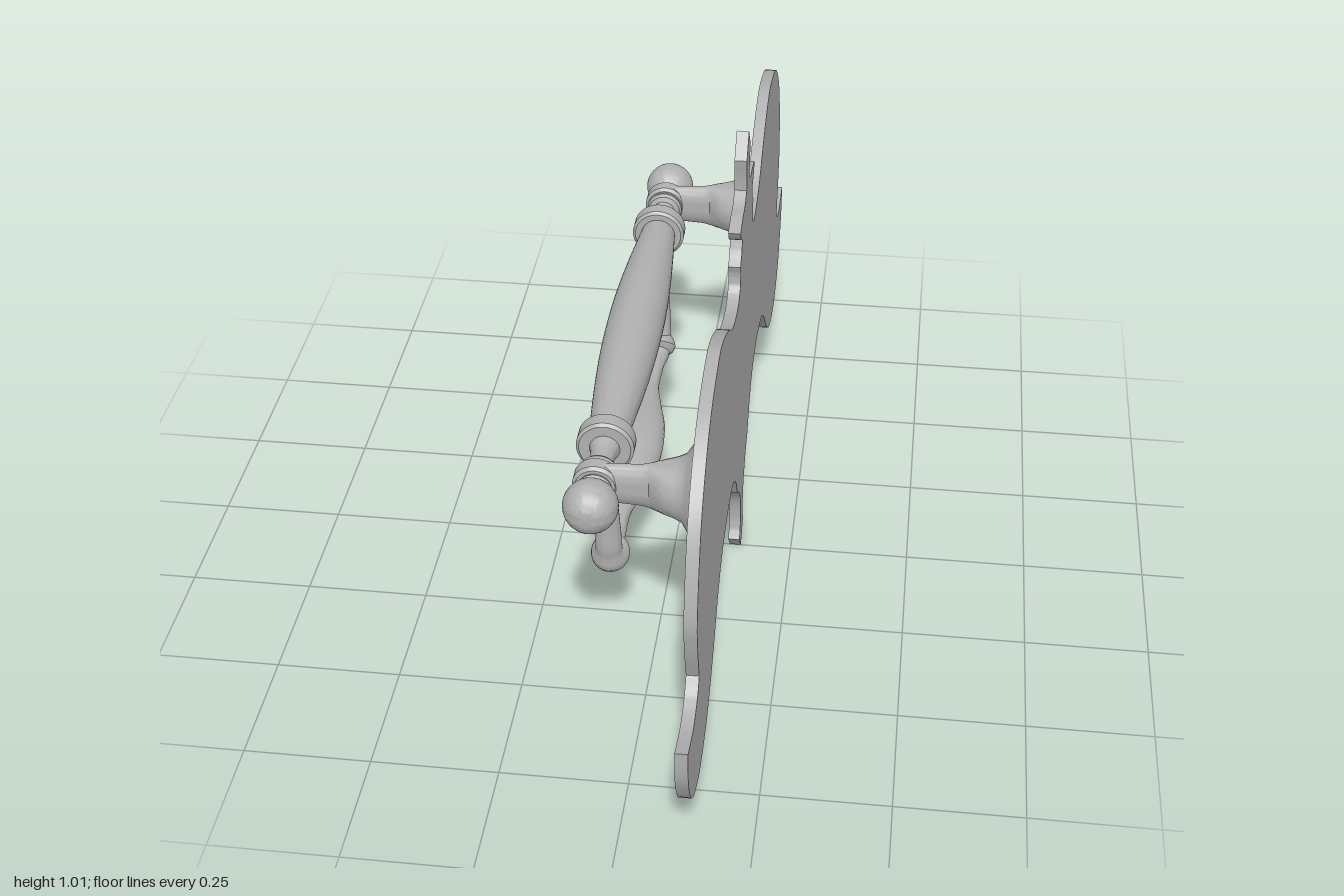
import * as THREE from 'three';
import { toCreasedNormals } from 'three/addons/utils/BufferGeometryUtils.js';

const BAR_X = -0.085, BAR_Y = 0.54;

// Skin over a list of equally sized closed rings, with capped ends
function loft(rings) {
  const n = rings[0].length, pos = [], idx = [];
  rings.forEach(r => r.forEach(p => pos.push(p.x, p.y, p.z)));
  for (let i = 0; i < rings.length - 1; i++) {
    for (let j = 0; j < n; j++) {
      const k = (j + 1) % n;
      const a = i * n + j, b = i * n + k, c = b + n, d = a + n;
      idx.push(a, b, c, a, c, d);
    }
  }
  const last = (rings.length - 1) * n;
  for (let j = 1; j < n - 1; j++) {
    idx.push(0, j + 1, j, last, last + j, last + j + 1);
  }
  const g = new THREE.BufferGeometry();
  g.setAttribute('position', new THREE.Float32BufferAttribute(pos, 3));
  g.setIndex(idx);
  return toCreasedNormals(g, 0.6);
}

// Elliptical ring around a centre, spanned by two axes
function ring(centre, u, ru, v, rv, n = 32) {
  return Array.from({ length: n }, (_, j) => {
    const a = j / n * Math.PI * 2;
    return centre.clone().addScaledVector(u, ru * Math.cos(a)).addScaledVector(v, rv * Math.sin(a));
  });
}

// Turned part along z from [z, radius] pairs
function turned(profile) {
  const g = new THREE.LatheGeometry(profile.map(([z, r]) => new THREE.Vector2(r, z)), 40);
  g.rotateX(Math.PI / 2);
  return toCreasedNormals(g, 0.6);
}

// Half outline of the plate as smooth runs that meet at corners: [side, height]
const OUTLINE = [
  [[0, 1.01], [0.038, 0.965]],
  [[0.038, 0.965], [0.03, 0.925], [0.028, 0.895]],
  [[0.028, 0.895], [0.06, 0.878], [0.1, 0.877], [0.145, 0.866]],
  [[0.145, 0.866], [0.13, 0.845], [0.103, 0.828]],
  [[0.103, 0.828], [0.115, 0.802], [0.135, 0.785]],
  [[0.135, 0.785], [0.128, 0.762], [0.134, 0.735], [0.16, 0.721], [0.2, 0.719], [0.28, 0.738],
    [0.35, 0.78], [0.45, 0.825], [0.54, 0.838], [0.69, 0.8], [0.81, 0.69], [0.865, 0.53],
    [0.857, 0.44], [0.828, 0.355]],
  [[0.828, 0.355], [0.86, 0.325], [0.92, 0.312], [1, 0.328]],
  [[1, 0.328], [0.992, 0.25], [0.94, 0.165], [0.86, 0.117], [0.78, 0.105], [0.67, 0.132],
    [0.58, 0.195], [0.5, 0.27], [0.42, 0.315], [0.3, 0.334], [0.21, 0.32], [0.15, 0.28], [0.113, 0.225]],
  [[0.113, 0.225], [0.07, 0.195], [0.035, 0.15], [0.024, 0.1], [0.028, 0.065], [0.04, 0.045]],
  [[0.04, 0.045], [0, 0]],
];

function plateGeometry() {
  const half = [];
  for (const run of OUTLINE) {
    const curve = new THREE.SplineCurve(run.map(p => new THREE.Vector2(...p)));
    const steps = run.length === 2 ? 1 : (run.length - 1) * 5;
    half.push(...curve.getPoints(steps).slice(0, -1));
  }
  const mirrored = half.slice(1).reverse().map(p => new THREE.Vector2(-p.x, p.y));
  const shape = new THREE.Shape([...half, new THREE.Vector2(0, 0), ...mirrored]);
  const g = new THREE.ExtrudeGeometry(shape, { depth: 0.024, bevelEnabled: false });
  g.rotateY(Math.PI / 2);
  g.translate(0.118, 0, 0);
  return toCreasedNormals(g, 0.6);
}

// Flat arm that flares into a round rosette: [x, half height, half width]
function armGeometry() {
  const Y = new THREE.Vector3(0, 1, 0), Z = new THREE.Vector3(0, 0, 1);
  const sections = [
    [-0.085, 0.042, 0.018], [-0.04, 0.044, 0.018], [0, 0.046, 0.019], [0.015, 0.05, 0.021],
    [0.028, 0.052, 0.034], [0.045, 0.053, 0.05], [0.065, 0.058, 0.058], [0.08, 0.065, 0.065],
    [0.09, 0.08, 0.08], [0.103, 0.103, 0.103], [0.107, 0.108, 0.108], [0.119, 0.108, 0.108],
  ];
  return loft(sections.map(([x, h, w]) => ring(new THREE.Vector3(x, 0, 0), Y, h, Z, w)));
}

// Hanging bail with a flattened swelling: half path as [z, y, width radius, thickness radius]
function bailGeometry() {
  const half = [
    [0.4, 0.51, 0.015, 0.015], [0.4, 0.42, 0.019, 0.018], [0.397, 0.33, 0.025, 0.021],
    [0.39, 0.275, 0.027, 0.025], [0.36, 0.246, 0.027, 0.025], [0.31, 0.242, 0.02, 0.018],
    [0.24, 0.241, 0.019, 0.017], [0.16, 0.241, 0.034, 0.026], [0.08, 0.241, 0.052, 0.038],
  ];
  const all = [...half, [0, 0.241, 0.057, 0.043], ...half.slice().reverse().map(([z, ...r]) => [-z, ...r])];
  const path = new THREE.CatmullRomCurve3(all.map(p => new THREE.Vector3(0, p[1], p[0])));
  const size = new THREE.CatmullRomCurve3(all.map(p => new THREE.Vector3(p[2], p[3], 0)));
  const X = new THREE.Vector3(1, 0, 0), rings = [], steps = 90;
  for (let i = 0; i <= steps; i++) {
    const t = path.getTangent(i / steps), s = size.getPoint(i / steps);
    rings.push(ring(path.getPoint(i / steps), X, s.x, t.cross(X), s.y, 24));
  }
  return loft(rings);
}

export function createModel() {
  const group = new THREE.Group();
  const metal = new THREE.MeshStandardMaterial({ color: 0xb0b0b0 });
  metal.name = 'grey metal';
  const add = (name, geometry, x = 0, y = 0, z = 0) => {
    const mesh = new THREE.Mesh(geometry, metal);
    mesh.name = name;
    mesh.position.set(x, y, z);
    group.add(mesh);
    return mesh;
  };

  add('backPlate', plateGeometry());
  add('bail', bailGeometry(), BAR_X);

  // Swelling grip between the two collars
  const grip = [];
  for (let i = 0; i <= 24; i++) {
    const z = -0.39 + i * 0.78 / 24;
    grip.push([z, 0.036 + 0.022 * Math.cos(z / 0.39 * Math.PI / 2)]);
  }
  add('grip', turned(grip), BAR_X, BAR_Y);

  // Collar, neck with rings, and end knob
  const collar = turned([[0.38, 0], [0.38, 0.05], [0.385, 0.056], [0.415, 0.056], [0.42, 0.05], [0.42, 0]]);
  const neck = turned([
    [0.415, 0.031], [0.43, 0.026], [0.46, 0.021], [0.483, 0.024], [0.487, 0.034], [0.495, 0.038],
    [0.503, 0.036], [0.507, 0.028], [0.54, 0.028], [0.544, 0.032], [0.55, 0.034], [0.556, 0.03], [0.565, 0.02],
  ]);
  const knobProfile = [];
  for (let i = 0; i <= 20; i++) {
    const a = -Math.PI / 2 + i / 20 * (Math.PI - 0.3);
    knobProfile.push([0.598 + 0.052 * Math.sin(a), Math.max(0, 0.052 * Math.cos(a))]);
  }
  knobProfile.push([0.646, 0]);
  const knob = turned(knobProfile);
  const eye = turned([[0.505, 0], [0.505, 0.038], [0.511, 0.044], [0.537, 0.044], [0.543, 0.038], [0.543, 0]]);
  const arm = armGeometry();

  for (const [side, turn] of [['front', 0], ['back', Math.PI]]) {
    const parts = { Collar: collar, Neck: neck, Knob: knob, ArmEye: eye };
    for (const [part, geometry] of Object.entries(parts)) {
      add(side + part, geometry, BAR_X, BAR_Y).rotation.y = turn;
    }
    add(side + 'ArmAndRosette', arm, 0, BAR_Y, turn ? -0.524 : 0.524);
  }
  return group;
}
